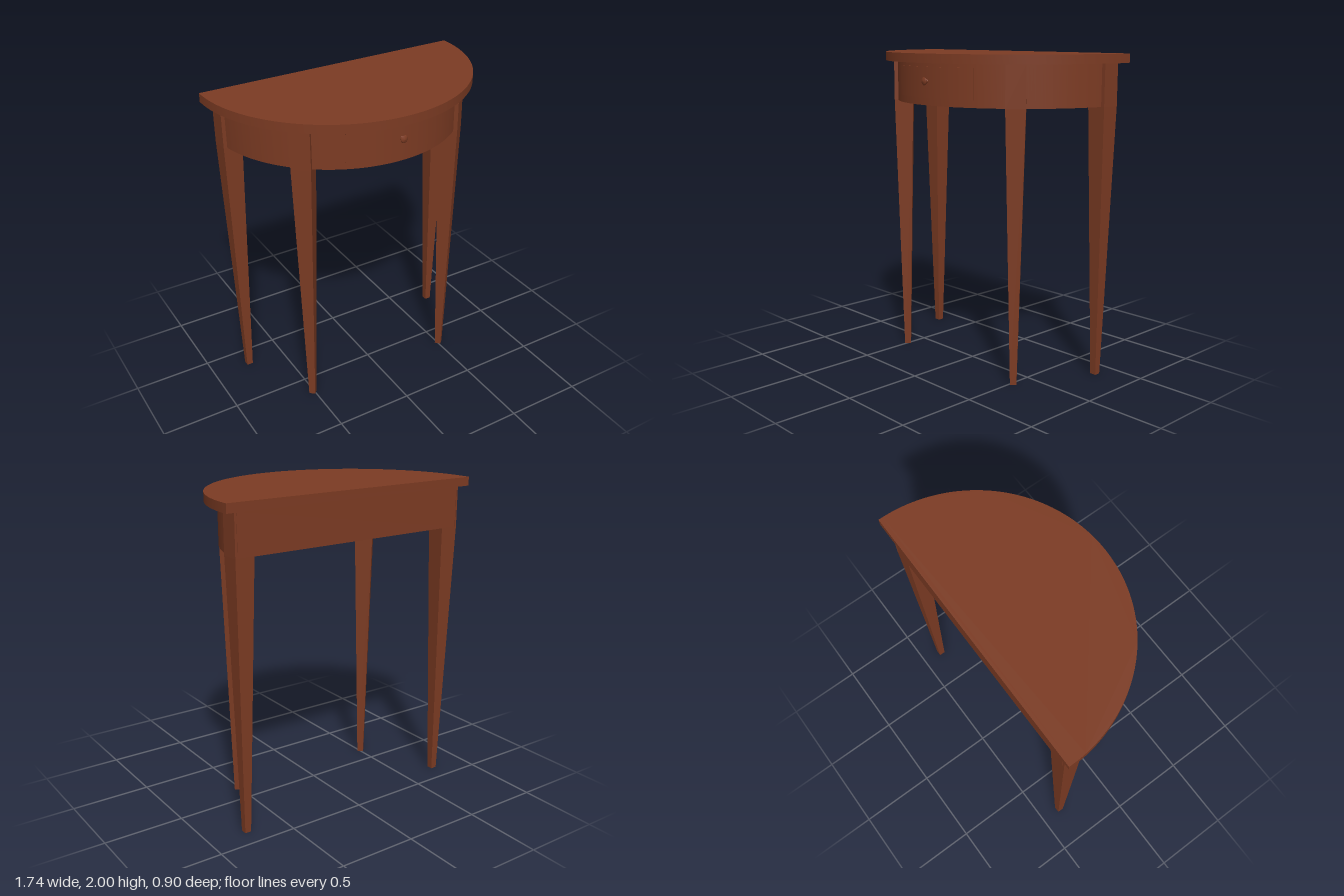
import * as THREE from 'three';
import { toCreasedNormals } from 'three/addons/utils/BufferGeometryUtils.js';

const CENTRE_Z = -0.423; // centre of all the curved fronts
const TOP_Y = 1.945, APRON_Y = 1.69;

// Stand a plan outline (shape y = -z) up between two heights
function slab(shape, y0, y1) {
  const g = new THREE.ExtrudeGeometry(shape, { depth: y1 - y0, bevelEnabled: false, curveSegments: 64 });
  g.rotateX(-Math.PI / 2);
  g.translate(0, y0, 0);
  return toCreasedNormals(g, 0.5);
}

// Half disc with a straight back edge
function halfDisc(radius, backZ) {
  const s = new THREE.Shape();
  s.absarc(0, -CENTRE_Z, radius, Math.PI, Math.PI * 2, false);
  s.lineTo(radius, -backZ);
  s.lineTo(-radius, -backZ);
  s.closePath();
  return s;
}

// Square block at apron height, tapering to a small foot
function legGeometry() {
  const g = new THREE.BoxGeometry(0.12, TOP_Y, 0.12, 1, 2, 1);
  g.translate(0, TOP_Y / 2, 0);
  const p = g.attributes.position;
  for (let i = 0; i < p.count; i++) {
    const y = p.getY(i);
    if (y < 0.01) p.setXYZ(i, p.getX(i) / 3, 0, p.getZ(i) / 3);
    else if (y < TOP_Y - 0.01) p.setY(i, APRON_Y);
  }
  return toCreasedNormals(g, 0.01);
}

export function createModel() {
  const table = new THREE.Group();
  table.name = 'halfRoundTable';
  const wood = new THREE.MeshStandardMaterial({ color: 0x7c3b23 });
  wood.name = 'redBrownWood';

  const add = (name, geometry) => {
    const mesh = new THREE.Mesh(geometry, wood);
    mesh.name = name;
    table.add(mesh);
    return mesh;
  };

  add('tableTop', slab(halfDisc(0.871, -0.448), TOP_Y, 2));
  add('apron', slab(halfDisc(0.795, -0.42), APRON_Y, TOP_Y));

  // Curved drawer front, slightly proud of the apron
  const half = Math.asin(0.33 / 0.801), mid = -Math.PI / 2;
  const front = new THREE.Shape();
  front.absarc(0, -CENTRE_Z, 0.801, mid - half, mid + half, false);
  front.absarc(0, -CENTRE_Z, 0.785, mid + half, mid - half, true);
  front.closePath();
  add('drawerFront', slab(front, 1.735, 1.92));

  // Turned knob: thin neck and rounded head
  const profile = [[0.014, 0], [0.009, 0.008], [0.01, 0.013], [0.022, 0.018], [0.024, 0.022], [0.018, 0.028], [0, 0.031]]
    .map(([r, y]) => new THREE.Vector2(r, y));
  const knob = add('drawerKnob', new THREE.LatheGeometry(profile, 24));
  knob.rotation.x = Math.PI / 2;
  knob.position.set(0, 1.835, 0.376);

  // Back legs are square to the wall, front legs face outward
  const leg = legGeometry();
  for (const side of [-1, 1]) {
    const label = side > 0 ? 'Left' : 'Right';
    add('back' + label + 'Leg', leg).position.set(side * 0.748, 0, -0.36);
    const frontLeg = add('front' + label + 'Leg', leg);
    frontLeg.position.set(side * 0.51, 0, 0.137);
    frontLeg.rotation.y = side * 0.74;
  }
  return table;
}
